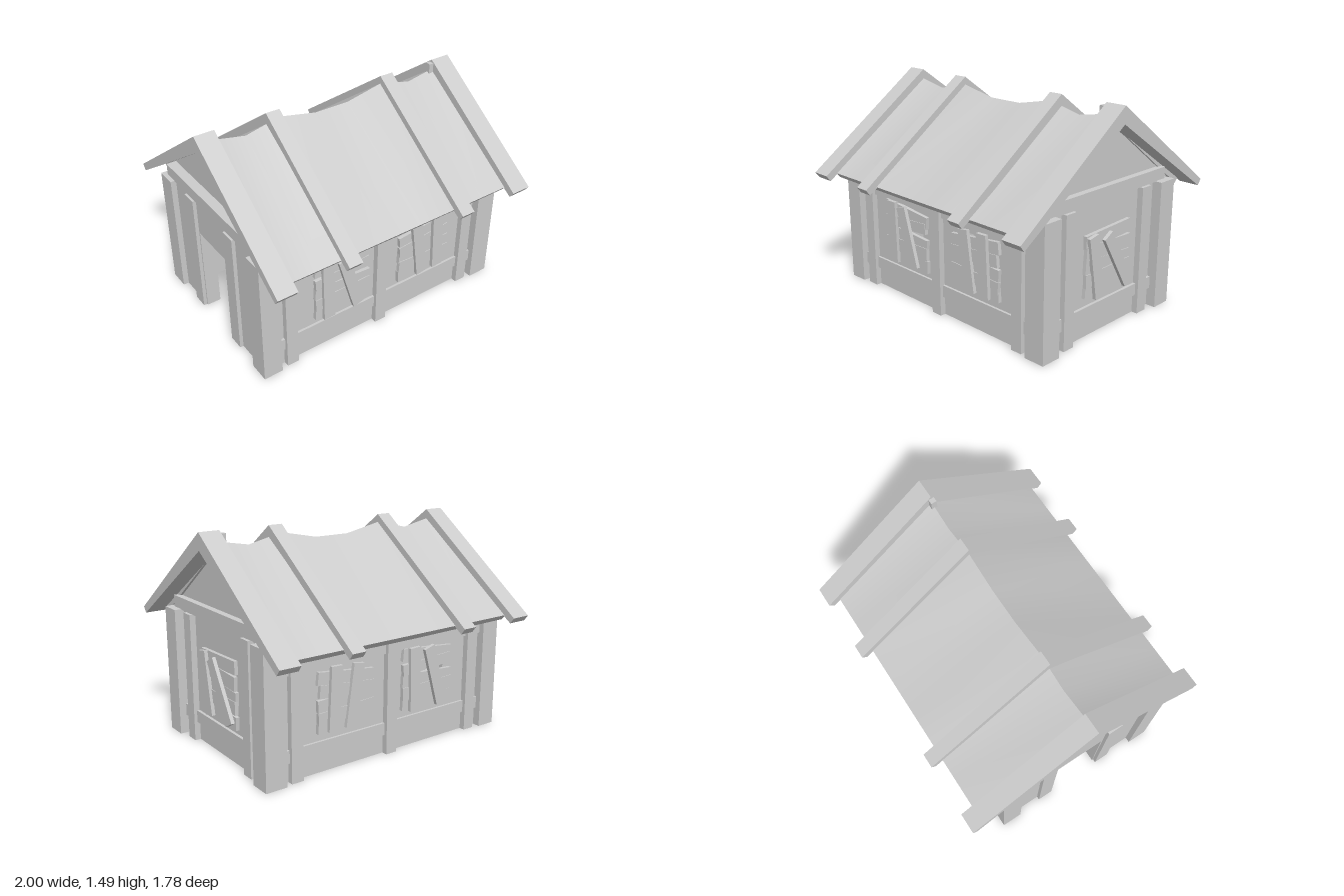
import * as THREE from 'three';
import { mergeGeometries, toCreasedNormals } from 'three/addons/utils/BufferGeometryUtils.js';

const mat = new THREE.MeshStandardMaterial({ color: 0xcccccc });

function add(parent, name, geo) {
  const m = new THREE.Mesh(geo, mat);
  m.name = name;
  parent.add(m);
  return m;
}

// Box given by its extents on each axis
function block(parent, name, [x0, x1], [y0, y1], [z0, z1]) {
  const m = add(parent, name, new THREE.BoxGeometry(x1 - x0, y1 - y0, z1 - z0));
  m.position.set((x0 + x1) / 2, (y0 + y1) / 2, (z0 + z1) / 2);
}

const poly = pts => new THREE.Shape(pts.map(p => new THREE.Vector2(p[0], p[1])));
const rect = (x0, x1, y0, y1) => [[x0, y0], [x1, y0], [x1, y1], [x0, y1]];

// Extrude an outline (with holes) along z, starting at z0
function slab(outline, holes, z0, depth) {
  const s = poly(outline);
  holes.forEach(h => s.holes.push(poly(h)));
  return new THREE.ExtrudeGeometry(s, { depth, bevelEnabled: false }).translate(0, 0, z0);
}

// Same, but along x: outline is drawn in (-z, y)
function crossSlab(outline, holes, x0, depth) {
  return slab(outline, holes, 0, depth).rotateY(Math.PI / 2).translate(x0, 0, 0);
}

// Boarded window facing +z; each board runs between two points [x0, y0, x1, y1, width, layer]
function boards(parent, name, list, flip = 1) {
  const g = new THREE.Group();
  g.name = name;
  for (const [x0, y0, x1, y1, w, layer] of list) {
    const b = add(g, 'board', new THREE.BoxGeometry(Math.hypot(x1 - x0, y1 - y0), w, 0.025));
    b.position.set(flip * (x0 + x1) / 2, (y0 + y1) / 2, layer * 0.025);
    b.rotation.z = flip * Math.atan2(y1 - y0, x1 - x0);
  }
  parent.add(g);
  return g;
}

const LEFT_BOARDS = [
  [-0.56, 0.655, -0.13, 0.615, 0.085, 0], [-0.56, 0.55, -0.14, 0.575, 0.075, 0.2],
  [-0.56, 0.475, -0.13, 0.45, 0.09, 0], [-0.56, 0.385, -0.13, 0.395, 0.09, 0.2],
  [-0.56, 0.315, -0.13, 0.3, 0.09, 0],
  [-0.475, 0.7, -0.465, 0.26, 0.085, 1], [-0.36, 0.685, -0.24, 0.275, 0.085, 1.4],
];
const RIGHT_BOARDS = [
  [0.12, 0.58, 0.55, 0.63, 0.085, 0], [0.12, 0.505, 0.54, 0.545, 0.085, 0.2],
  [0.12, 0.46, 0.55, 0.44, 0.095, 0], [0.12, 0.385, 0.55, 0.365, 0.085, 0.2],
  [0.12, 0.295, 0.55, 0.315, 0.09, 0],
  [0.25, 0.685, 0.31, 0.27, 0.085, 1], [0.425, 0.7, 0.445, 0.275, 0.085, 1.2],
];
const END_BOARDS = [
  [-0.21, 0.65, 0.225, 0.665, 0.09, 0], [-0.21, 0.58, 0.225, 0.56, 0.095, 0.2],
  [-0.21, 0.485, 0.225, 0.46, 0.09, 0], [-0.21, 0.395, 0.225, 0.4, 0.09, 0.2],
  [-0.21, 0.325, 0.225, 0.295, 0.09, 0],
  [-0.165, 0.69, -0.09, 0.265, 0.085, 1], [-0.035, 0.665, 0.19, 0.285, 0.085, 1.4],
];

// Long walls with window holes, rails and posts; built facing +z
function longWall(name, flip) {
  const g = new THREE.Group();
  g.name = name;
  const span = (a, b) => (flip > 0 ? [a, b] : [-b, -a]);
  const hole = (a, b) => rect(...span(a, b), 0.3, 0.65);
  add(g, 'wallPanel', slab(rect(...span(-0.93, 0.88), 0, 0.9),
    [hole(-0.51, -0.2), hole(0.18, 0.49)], 0.47, 0.115));
  for (const y of [[0.13, 0.215], [0.69, 0.78]]) block(g, 'rail', span(-0.84, 0.8), y, [0.58, 0.602]);
  for (const x of [[-0.79, -0.705], [-0.075, 0.01], [0.67, 0.755]])
    block(g, 'post', span(...x), [0, 0.89], [0.58, 0.625]);
  // The window at -x keeps its lean on both walls
  boards(g, 'leftWindowBoards', LEFT_BOARDS).position.set(flip > 0 ? 0 : 0.69, 0, 0.602);
  boards(g, 'rightWindowBoards', RIGHT_BOARDS, flip).position.z = 0.602;
  if (flip < 0) g.rotation.y = Math.PI;
  return g;
}

// Height of the sagging ridge at points along x
const RIDGE = [[-0.87, 1.425], [-0.65, 1.38], [-0.45, 1.425], [-0.4, 1.435], [-0.13, 1.38],
  [0.13, 1.38], [0.4, 1.435], [0.45, 1.425], [0.65, 1.38], [0.87, 1.42]];
const RIDGE_TOP = 1.43, EAVE = 0.805;

function roofStrip([x0, h0], [x1, h1]) {
  const g = crossSlab([[-EAVE, 0.855], [-0.775, 0.82], [0, 1.4], [0.775, 0.82],
    [EAVE, 0.855], [0, RIDGE_TOP]], [], x0, x1 - x0);
  const p = g.attributes.position;
  for (let i = 0; i < p.count; i++) {
    const h = Math.abs(p.getX(i) - x0) < 1e-4 ? h0 : h1;
    p.setY(i, p.getY(i) + (h - RIDGE_TOP) * (1 - Math.abs(p.getZ(i)) / EAVE));
  }
  return g;
}

export function createModel() {
  const house = new THREE.Group();
  house.name = 'boardedHouse';

  house.add(longWall('frontWall', 1), longWall('backWall', -1));

  // Corner pillars
  for (const x of [[-0.975, -0.84], [0.8, 0.95]])
    for (const z of [[0.495, 0.64], [-0.64, -0.495]]) block(house, 'cornerPillar', x, [0, 0.895], z);

  // Window end, with rail, posts and boards
  const windowEnd = new THREE.Group();
  windowEnd.name = 'windowEnd';
  add(windowEnd, 'wallPanel', crossSlab(rect(-0.57, 0.57, 0, 0.95),
    [rect(-0.16, 0.18, 0.3, 0.65)], 0.77, 0.11));
  block(windowEnd, 'rail', [0.87, 0.9], [0.13, 0.215], [-0.5, 0.5]);
  for (const z of [[0.33, 0.42], [-0.42, -0.33]]) block(windowEnd, 'post', [0.87, 0.922], [0, 0.89], z);
  const endBoards = boards(windowEnd, 'windowBoards', END_BOARDS);
  endBoards.rotation.y = Math.PI / 2;
  endBoards.position.x = 0.895;
  house.add(windowEnd);

  // Door end, with an open doorway between two posts
  const doorEnd = new THREE.Group();
  doorEnd.name = 'doorEnd';
  add(doorEnd, 'wallPanel', crossSlab([[-0.57, 0], [-0.18, 0], [-0.18, 0.63], [0.2, 0.63],
    [0.2, 0], [0.57, 0], [0.57, 0.95], [-0.57, 0.95]], [], -0.935, 0.1));
  for (const z of [[0.19, 0.3], [-0.32, -0.21]])
    block(doorEnd, 'post', [-0.96, -0.92], [0, 0.89], z);
  house.add(doorEnd);

  // Gables and the tie beams beneath them
  const gable = [[-0.72, 0.885], [0.72, 0.885], [0, 1.385]];
  add(house, 'leftGable', crossSlab(gable, [], 0.82, 0.035));
  add(house, 'rightGable', crossSlab(gable, [], -0.875, 0.035));
  block(house, 'leftTieBeam', [0.82, 0.9], [0.89, 0.975], [-0.6, 0.6]);
  block(house, 'rightTieBeam', [-0.945, -0.84], [0.89, 0.975], [-0.6, 0.6]);
  block(house, 'ridgePeg', [0.82, 0.86], [1.36, 1.47], [-0.02, 0.02]);

  // Sagging roof sheets, joined into one smooth surface
  const roof = new THREE.Group();
  roof.name = 'roof';
  const strips = RIDGE.slice(1).map((end, i) => roofStrip(RIDGE[i], end));
  add(roof, 'roofSheet', toCreasedNormals(mergeGeometries(strips), 0.5));

  // Tapered rafters
  const rafter = [[-0.89, 0.85], [-0.86, 0.81], [0, 1.375], [0.86, 0.81], [0.89, 0.85], [0, 1.49]];
  for (const [a, b] of [[-1, -0.86], [-0.5, -0.4], [0.4, 0.5], [0.855, 1]])
    add(roof, 'rafter', crossSlab(rafter, [], a, b - a));
  house.add(roof);

  return house;
}
